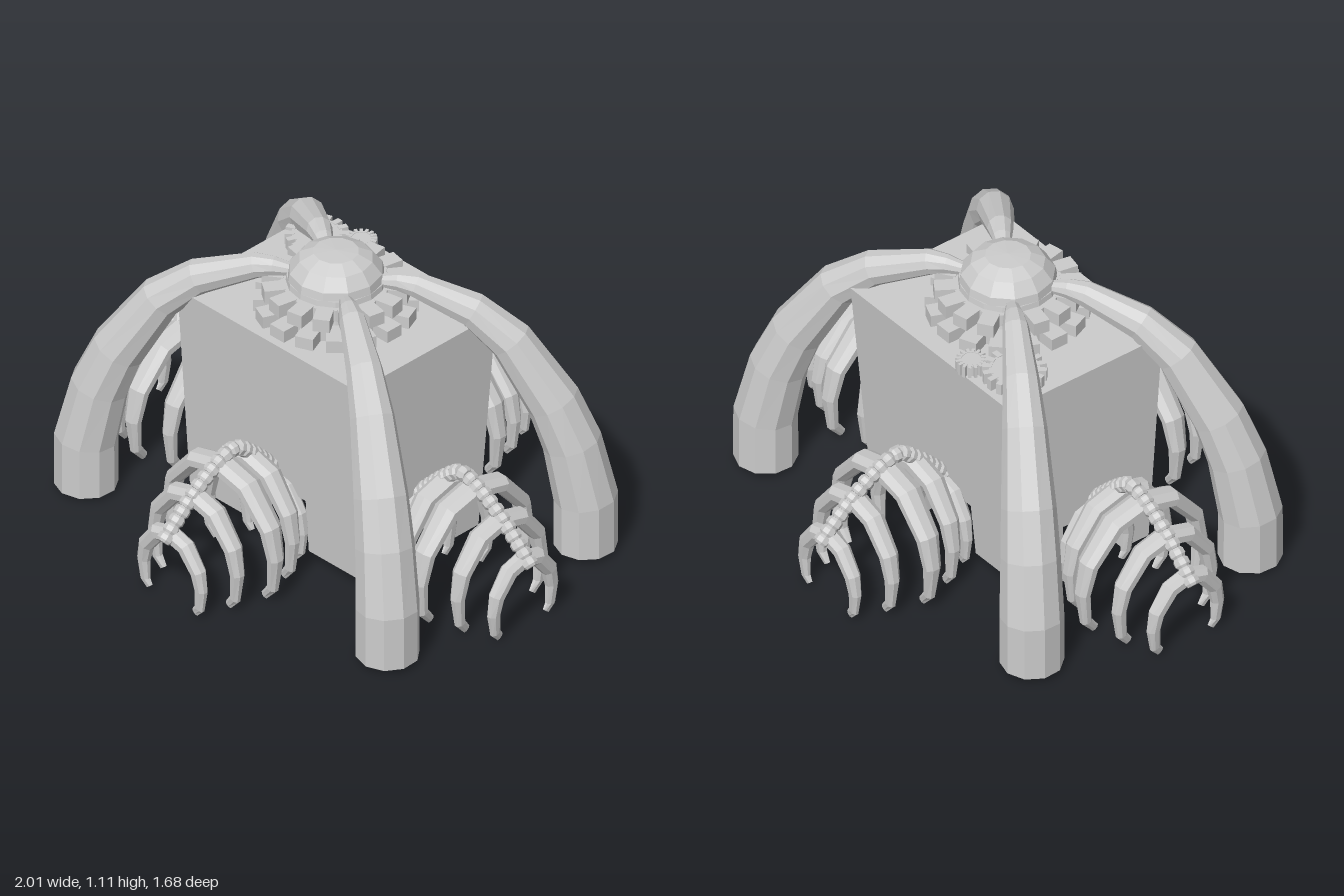
import * as THREE from 'three';

const mat = new THREE.MeshStandardMaterial({ color: 0xcccccc, flatShading: true });

function add(parent, geo, name, x = 0, y = 0, z = 0) {
  const m = new THREE.Mesh(geo, mat);
  m.name = name;
  m.position.set(x, y, z);
  parent.add(m);
  return m;
}

// Sweeps elliptical rings along a planar path; b is the plane's normal.
// Each ring is { p, ra, rb }: centre, in-plane radius, radius along b.
function loft(rings, b, sides) {
  const pos = [], idx = [], n = rings.length;
  rings.forEach(({ p, ra, rb }, i) => {
    const t = rings[Math.min(i + 1, n - 1)].p.clone().sub(rings[Math.max(i - 1, 0)].p).normalize();
    const nrm = b.clone().cross(t);
    for (let j = 0; j < sides; j++) {
      const a = ((j + 0.5) / sides) * Math.PI * 2;
      const v = p.clone().addScaledVector(nrm, ra * Math.cos(a)).addScaledVector(b, rb * Math.sin(a));
      pos.push(v.x, v.y, v.z);
    }
  });
  const c0 = n * sides, c1 = c0 + 1, last = (n - 1) * sides;
  pos.push(...rings[0].p.toArray(), ...rings[n - 1].p.toArray());
  for (let j = 0; j < sides; j++) {
    const k = (j + 1) % sides;
    for (let i = 0; i < n - 1; i++) {
      const q = i * sides, r = q + sides;
      idx.push(q + j, q + k, r + k, q + j, r + k, r + j);
    }
    idx.push(c0, k, j, c1, last + j, last + k);
  }
  const g = new THREE.BufferGeometry();
  g.setAttribute('position', new THREE.Float32BufferAttribute(pos, 3));
  g.setIndex(idx);
  g.computeVertexNormals();
  return g;
}

// Box whose outer z faces lean outward with height
function leaningBox(x0, x1, y0, y1, z0, z1) {
  const g = new THREE.BoxGeometry(x1 - x0, y1 - y0, z1 - z0);
  g.translate((x0 + x1) / 2, (y0 + y1) / 2, (z0 + z1) / 2);
  const p = g.attributes.position;
  for (let i = 0; i < p.count; i++) {
    const z = p.getZ(i), k = (p.getY(i) - 0.035) / 0.835;
    if (Math.abs(z) > 0.2) p.setZ(i, z + Math.sign(z) * k * (z > 0 ? 0.06 : 0.085));
  }
  g.computeVertexNormals();
  return g;
}

// Gear lying flat: disc with block teeth
function gear(name, x, y, z, rootR, tipR, h, teeth, fill, phase = 0) {
  const g = new THREE.Group();
  g.name = name;
  g.position.set(x, y + h / 2, z);
  add(g, new THREE.CylinderGeometry(rootR, rootR, h * 0.9, 24), 'gearDisc');
  const w = ((2 * Math.PI * tipR) / teeth) * fill, d = tipR - rootR + 0.01;
  for (let i = 0; i < teeth; i++) {
    const a = ((i + phase) / teeth) * Math.PI * 2;
    const r = tipR - d / 2;
    add(g, new THREE.BoxGeometry(d, h, w), 'gearTooth', r * Math.cos(a), 0, -r * Math.sin(a)).rotation.y = a;
  }
  return g;
}

// Arched rib standing in the yz plane, tapering to both tips
function rib(w, h, depth) {
  const half = [[0.74, 0.01, 0.2], [0.88, 0.12, 0.42], [0.93, 0.4, 0.65], [0.84, 0.65, 0.85], [0.45, 0.93, 0.98]];
  const all = [...half, [0, 1, 1], ...half.slice().reverse().map(([u, v, s]) => [-u, v, s])];
  const rings = all.map(([u, v, s]) => ({
    p: new THREE.Vector3(0, Math.max(0.008, v * h), u * w),
    ra: 0.012 + 0.022 * s, rb: depth * s,
  }));
  return loft(rings, new THREE.Vector3(1, 0, 0), 8);
}

// Rib cage running outward along +x from its widest rib
function ribCage(name, x, z, turn) {
  const g = new THREE.Group();
  g.name = name;
  g.position.set(x, 0, z);
  g.rotation.y = turn;
  const ribs = [[0.245, 0.15, 0.275, 0.033], [0.13, 0.215, 0.38, 0.042], [0, 0.275, 0.45, 0.052],
    [-0.13, 0.222, 0.42, 0.044], [-0.245, 0.145, 0.29, 0.033]];
  for (const [s, w, h, d] of ribs) add(g, rib(w, h, d), 'rib', s);
  // beaded spine
  const curve = new THREE.CatmullRomCurve3([[0.29, 0.265], [0.13, 0.405], [0, 0.48], [-0.06, 0.49], [-0.13, 0.44], [-0.27, 0.3]]
    .map(([s, y]) => new THREE.Vector3(s, y, 0)));
  const beads = 20, len = curve.getLength() / beads;
  const bead = new THREE.LatheGeometry([[0, -0.5], [0.022, -0.5], [0.029, -0.25], [0.029, 0.25], [0.022, 0.5], [0, 0.5]]
    .map(([r, y]) => new THREE.Vector2(r, y * len)), 8);
  for (let i = 0; i < beads; i++) {
    const u = (i + 0.5) / beads, p = curve.getPointAt(u);
    add(g, bead, 'vertebra', p.x, p.y, 0).quaternion
      .setFromUnitVectors(new THREE.Vector3(0, 1, 0), curve.getTangentAt(u));
  }
  return g;
}

export function createModel() {
  const model = new THREE.Group();
  const cx = 0.015, cz = 0.01;

  // Body: upper block over four feet that leave two crossing passages
  const body = new THREE.Group();
  body.name = 'body';
  model.add(body);
  const x0 = -0.44, x1 = 0.435, z0 = -0.262, z1 = 0.265, roof = 0.25;
  add(body, leaningBox(x0, x1, roof, 0.87, z0, z1), 'bodyBlock');
  for (const [a, b] of [[x0, -0.15], [0.14, x1]])
    for (const [c, d] of [[z0, -0.11], [0.15, z1]])
      add(body, leaningBox(a, b, 0.035, roof, c, d), 'bodyFoot');

  // Lamp hanging in the passage
  const lamp = [[0, 0.04], [0.015, 0.04], [0.017, 0.1], [0.028, 0.165], [0.036, 0.18], [0.036, 0.205], [0.02, 0.235], [0.008, 0.255]];
  add(model, new THREE.LatheGeometry(lamp.map((p) => new THREE.Vector2(...p)), 8), 'hangingLamp', 0.2, 0, 0.045);

  // Gears on the roof
  model.add(gear('lowerGear', cx, 0.868, cz, 0.22, 0.285, 0.048, 16, 0.6));
  model.add(gear('upperGear', cx, 0.932, cz, 0.19, 0.255, 0.05, 16, 0.6, 0.5));
  add(model, new THREE.CylinderGeometry(0.17, 0.19, 0.13, 16), 'gearHub', cx, 0.935, cz);
  model.add(gear('sideGear', -0.305, 0.868, -0.215, 0.088, 0.112, 0.045, 16, 0.5));
  model.add(gear('smallGear', -0.175, 0.868, -0.3, 0.044, 0.056, 0.045, 16, 0.5));

  // Dome where the legs meet
  const dome = [[0, 0.96], [0.12, 0.97], [0.17, 1.0], [0.165, 1.03], [0.13, 1.075], [0.08, 1.1], [0, 1.104]];
  add(model, new THREE.LatheGeometry(dome.map((p) => new THREE.Vector2(...p)), 12), 'dome', cx, 0, cz);

  // Four arched legs: [share of reach, height, radius]
  const reach = 0.877, spread = Math.atan2(0.478, 0.735);
  const path = [[1, 0.015, 0.112], [1, 0.21, 0.112], [0.945, 0.43, 0.104], [0.87, 0.59, 0.096], [0.7, 0.82, 0.078],
    [0.55, 0.925, 0.064], [0.32, 1.0, 0.046], [0.25, 1.005, 0.035], [0.13, 0.995, 0.014]];
  const legGeo = loft(path.map(([t, y, r]) => ({ p: new THREE.Vector3(t * reach, y, 0), ra: r, rb: r })),
    new THREE.Vector3(0, 0, 1), 10);
  for (const a of [spread, -spread, Math.PI - spread, Math.PI + spread])
    add(model, legGeo, 'leg', cx, 0, cz).rotation.y = a;

  // Rib cages on all four sides
  model.add(ribCage('leftRibCage', 0.697, 0.026, 0));
  model.add(ribCage('rightRibCage', -0.7, 0.026, Math.PI));
  model.add(ribCage('frontRibCage', -0.01, 0.53, -Math.PI / 2));
  model.add(ribCage('backRibCage', -0.01, -0.545, Math.PI / 2));
  return model;
}
